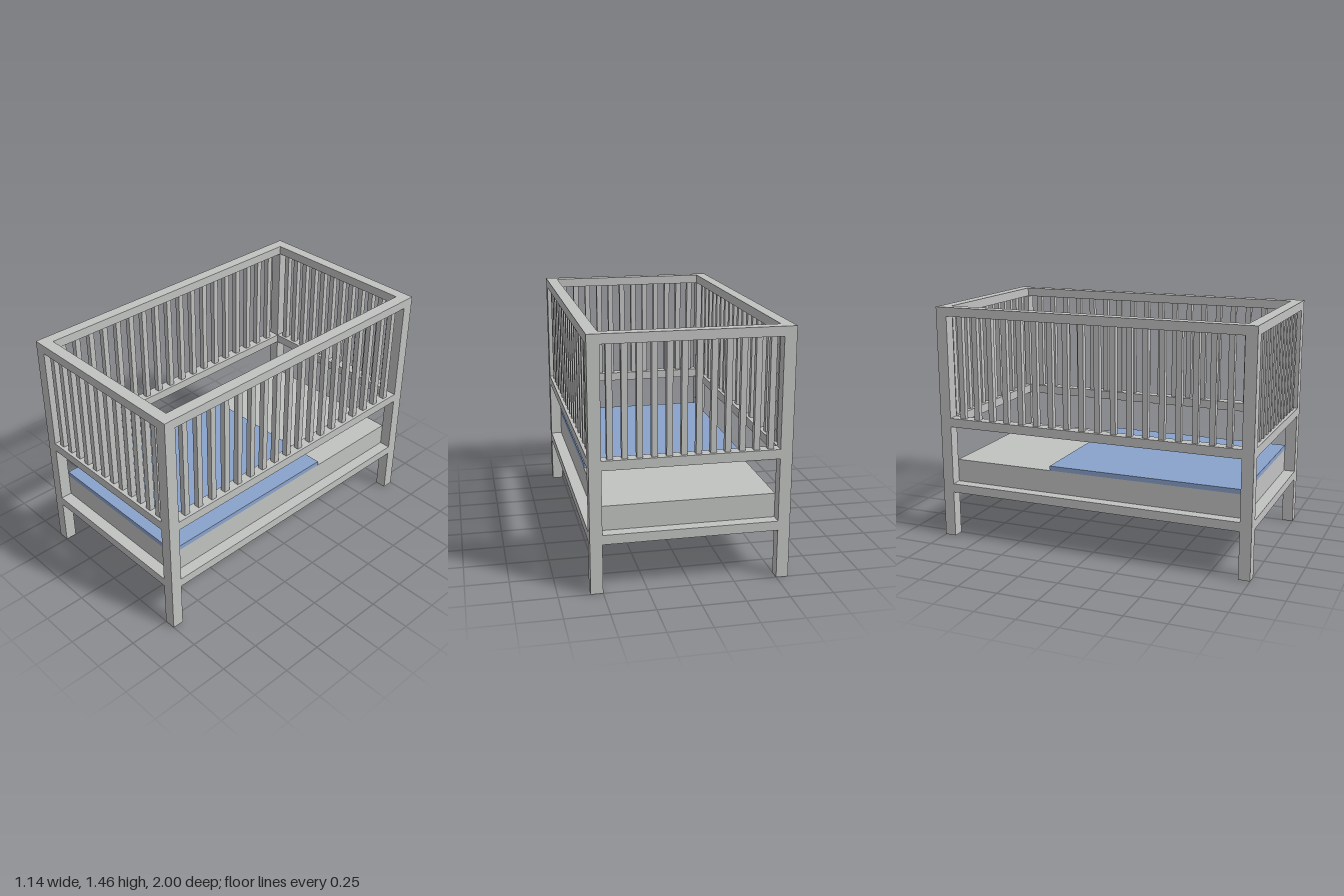
import * as THREE from 'three';

export function createModel() {
  const crib = new THREE.Group();
  crib.name = 'crib';

  const paint = new THREE.MeshStandardMaterial({ color: 0xc1c3c1 });
  paint.name = 'pale grey';
  const cloth = new THREE.MeshStandardMaterial({ color: 0x8aa3cc });
  cloth.name = 'soft blue';

  const W = 0.57, D = 1, H = 1.46;   // half width, half depth, height
  const T = 0.07, RAIL = 0.055;      // post thickness, rail height
  const SLAT = 0.034;
  const xi = W - T, zi = D - T;      // inner half sizes
  const railY = [0.29, 0.715, H - RAIL];

  // Box given by its minimum and maximum corners
  const box = (name, material, [x0, y0, z0], [x1, y1, z1]) => {
    const mesh = new THREE.Mesh(new THREE.BoxGeometry(x1 - x0, y1 - y0, z1 - z0), material);
    mesh.position.set((x0 + x1) / 2, (y0 + y1) / 2, (z0 + z1) / 2);
    mesh.name = name;
    return mesh;
  };

  // Corner posts
  for (const sx of [-1, 1]) for (const sz of [-1, 1]) {
    const x = sx * (W - T / 2), z = sz * (D - T / 2);
    crib.add(box('cornerPost', paint, [x - T / 2, 0, z - T / 2], [x + T / 2, H, z + T / 2]));
  }

  // A railing along x: three rails and a row of slats between the upper two
  const makePanel = (name, half, slatCount, slatReach) => {
    const panel = new THREE.Group();
    panel.name = name;
    for (const y of railY) {
      panel.add(box('rail', paint, [-half, y, -T / 2], [half, y + RAIL, T / 2]));
    }
    for (let i = 0; i < slatCount; i++) {
      const x = slatReach * (2 * i / (slatCount - 1) - 1);
      panel.add(box('slat', paint,
        [x - SLAT / 2, railY[1] + RAIL, -SLAT / 2], [x + SLAT / 2, railY[2], SLAT / 2]));
    }
    crib.add(panel);
    return panel;
  };
  for (const s of [-1, 1]) {
    makePanel(s > 0 ? 'frontPanel' : 'backPanel', xi, 12, 0.45).position.z = s * (D - T / 2);
    const side = makePanel(s > 0 ? 'leftPanel' : 'rightPanel', zi, 18, 0.852);
    side.position.x = s * (W - T / 2);
    side.rotation.y = Math.PI / 2;
  }

  // Base board, mattress and the blanket over its front part
  crib.add(box('baseBoard', paint, [-xi, railY[0], -zi], [xi, railY[0] + RAIL, zi]));
  crib.add(box('mattress', paint, [-xi, railY[0] + RAIL, -zi], [xi, 0.487, zi]));
  crib.add(box('blanket', cloth, [-xi, 0.487, -0.287], [xi, 0.516, zi]));

  return crib;
}
